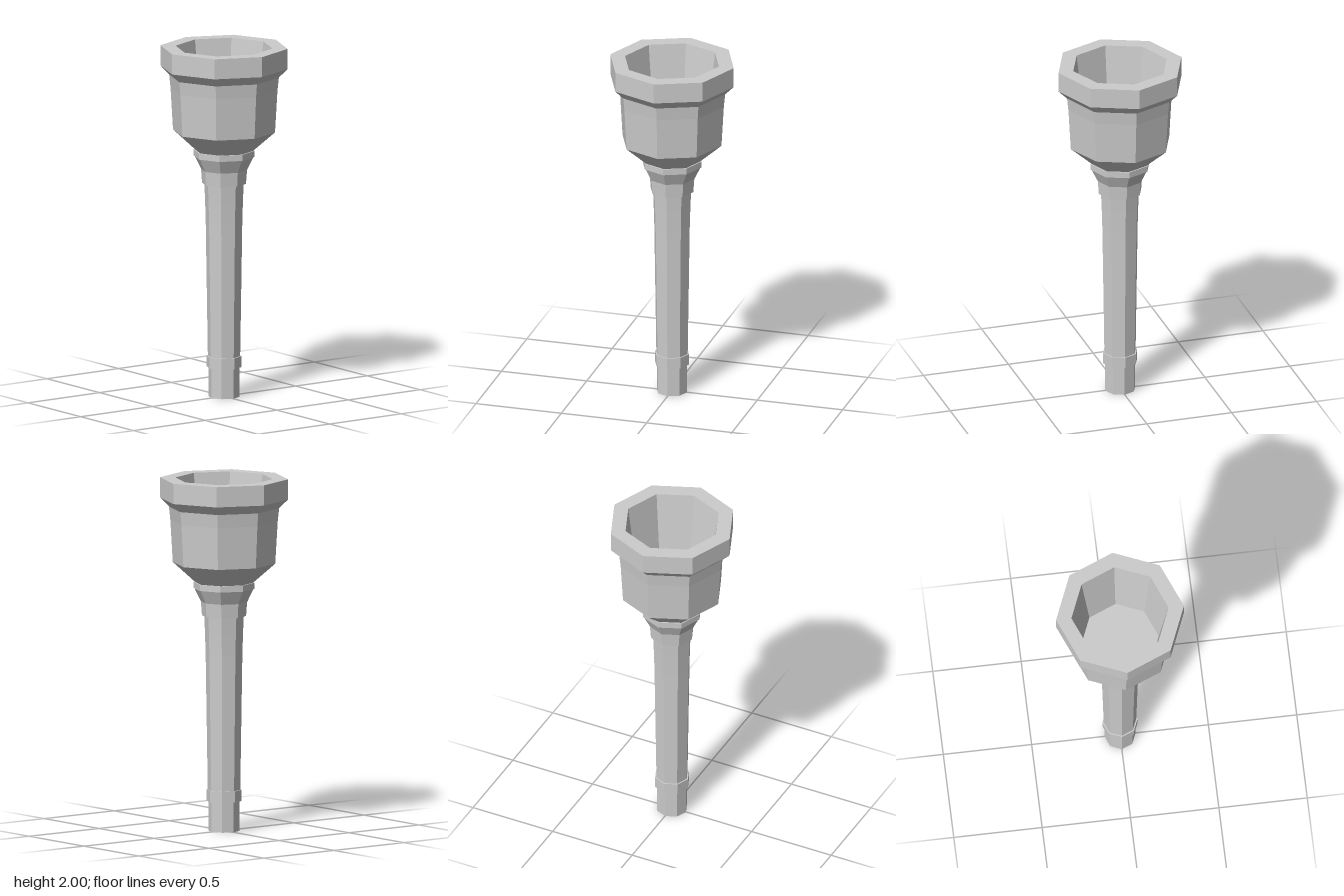
import * as THREE from 'three';

const SIDES = 8;

export function createModel() {
  const model = new THREE.Group();
  model.name = 'mouthpiece';
  const material = new THREE.MeshStandardMaterial({ color: 0xcccccc, flatShading: true });

  // Turns a [radius, height] profile (outside surface runs upwards) into an eight-sided part
  const turn = (name, profile) => {
    const points = profile.map(([r, y]) => new THREE.Vector2(r, y));
    const mesh = new THREE.Mesh(new THREE.LatheGeometry(points, SIDES), material);
    mesh.name = name;
    model.add(mesh);
  };

  // Closed tip at the foot
  turn('shankTip', [[0, 0], [0.088, 0], [0.088, 0.17]]);
  // Small collar above the tip
  turn('lowerCollar', [[0.088, 0.17], [0.1, 0.17], [0.1, 0.233], [0.092, 0.233]]);
  // Long tapering shank
  turn('shank', [[0.092, 0.233], [0.104, 1.0], [0.108, 1.13], [0.112, 1.22]]);
  // Ring and flare leading up to the cup
  turn('upperRing', [[0.112, 1.22], [0.125, 1.22], [0.131, 1.3], [0.135, 1.3]]);
  turn('flare', [[0.131, 1.3], [0.168, 1.375]]);
  turn('cupCollar', [[0.165, 1.375], [0.173, 1.375], [0.173, 1.41], [0.165, 1.41]]);
  // Outside of the cup
  turn('cup', [[0.165, 1.41], [0.29, 1.52], [0.304, 1.76], [0.312, 1.835], [0.362, 1.885]]);
  // Rim band with its flat top
  turn('rim', [[0.362, 1.885], [0.362, 2], [0.275, 2]]);
  // Hollow of the cup with a flat floor
  turn('cupHollow', [[0.275, 2], [0.219, 1.55], [0, 1.55]]);

  return model;
}
